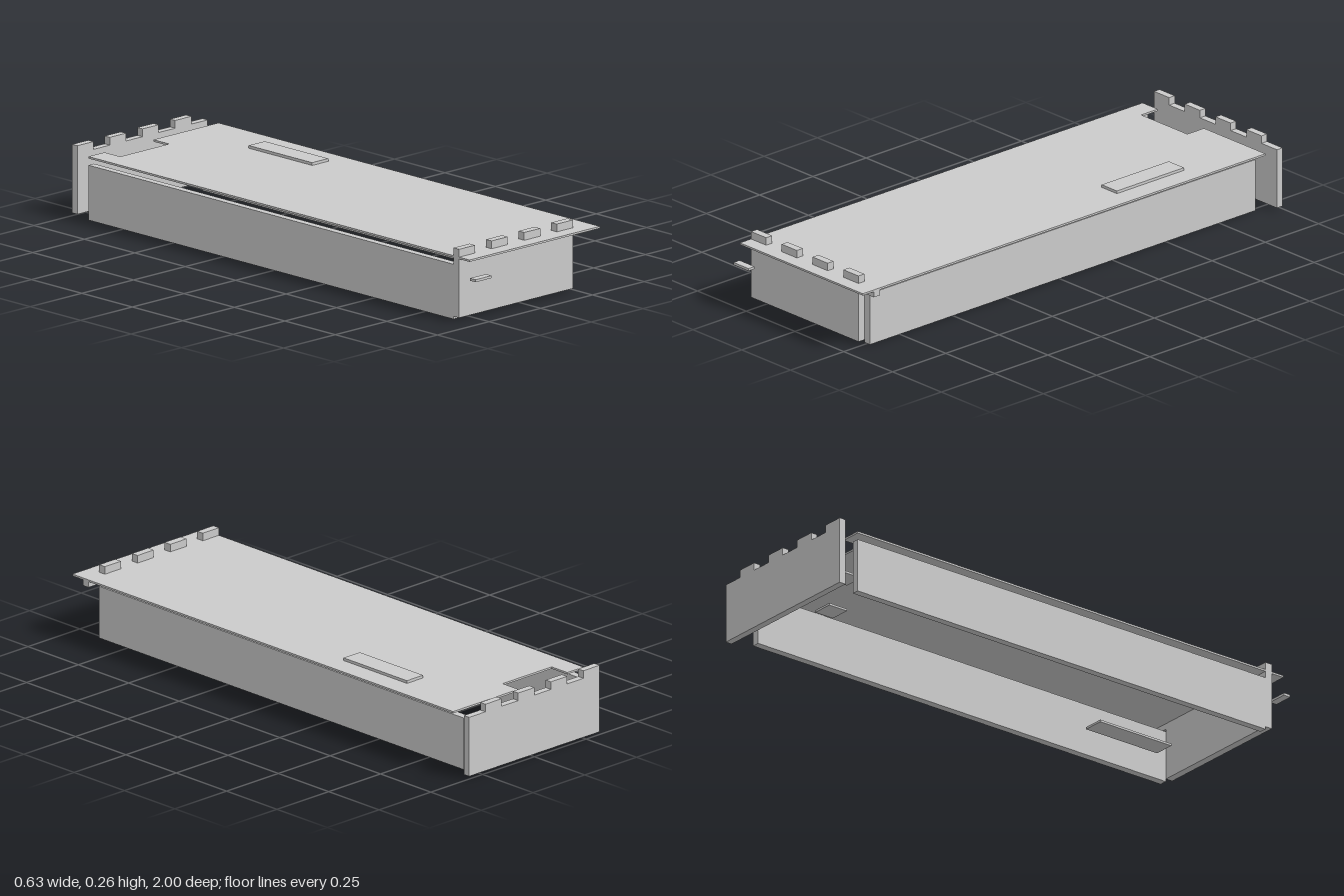
import * as THREE from 'three';

const material = new THREE.MeshStandardMaterial({ color: 0xcccccc, flatShading: true });

// Adds a box given by its minimum and maximum on each axis
function slab(group, name, [x0, x1], [y0, y1], [z0, z1]) {
  const mesh = new THREE.Mesh(new THREE.BoxGeometry(x1 - x0, y1 - y0, z1 - z0), material);
  mesh.position.set((x0 + x1) / 2, (y0 + y1) / 2, (z0 + z1) / 2);
  mesh.name = name;
  group.add(mesh);
}

// Extrudes an outline in the xy plane
function panel(group, name, points, depth) {
  const shape = new THREE.Shape(points.map(([x, y]) => new THREE.Vector2(x, y)));
  const geometry = new THREE.ExtrudeGeometry(shape, { depth, bevelEnabled: false });
  const mesh = new THREE.Mesh(geometry, material);
  mesh.name = name;
  group.add(mesh);
  return mesh;
}

// Crenellated top edge shared by both end panels, running from +x to -x
function tabEdge() {
  const points = [];
  for (const x of [0.158, 0, -0.158, -0.315]) {
    const end = x + 0.078;
    points.push([end, 0.228], [end, 0.256], [x, 0.256]);
    if (x > -0.315) points.push([x, 0.228]);
  }
  return points;
}

export function createModel() {
  const model = new THREE.Group();
  model.name = 'slottedBox';

  // Thin lid with a notch in its back edge
  const lid = panel(model, 'lid', [
    [-0.315, -0.97], [0.315, -0.97], [0.315, 0.92], [0, 0.92],
    [0, 0.842], [-0.237, 0.842], [-0.237, 0.92], [-0.315, 0.92],
  ], 0.007);
  lid.rotation.x = -Math.PI / 2;
  lid.position.y = 0.221;

  // Front panel, cut back beside the left wall
  const front = panel(model, 'frontPanel', [
    [-0.315, 0.01], [0.236, 0.01], [0.236, 0.2], [0.315, 0.2], [0.315, 0.228], ...tabEdge(),
  ], 0.028);
  front.position.z = 0.89;

  // Back panel, standing apart from the walls
  const back = panel(model, 'backPanel', [
    [-0.315, 0.01], [0.315, 0.01], [0.315, 0.228], ...tabEdge(),
  ], 0.026);
  back.position.z = -1;

  // Long side walls
  slab(model, 'leftWall', [0.236, 0.264], [0, 0.191], [-0.92, 0.89]);
  slab(model, 'rightWall', [-0.315, -0.288], [0, 0.197], [-0.92, 0.89]);

  // Flat strips on the lid and at floor level
  slab(model, 'lidStrip', [0.158, 0.236], [0.228, 0.238], [-0.61, -0.295]);
  slab(model, 'floorStrip', [0, 0.079], [0.003, 0.011], [0.41, 0.725]);

  // Small loose tabs
  slab(model, 'frontTab', [-0.315, -0.238], [0.154, 0.163], [0.972, 1]);
  slab(model, 'floorTab', [-0.158, -0.08], [0.003, 0.011], [-0.92, -0.842]);
  slab(model, 'innerTab', [-0.237, -0.158], [0.1, 0.108], [-0.92, -0.842]);

  return model;
}
